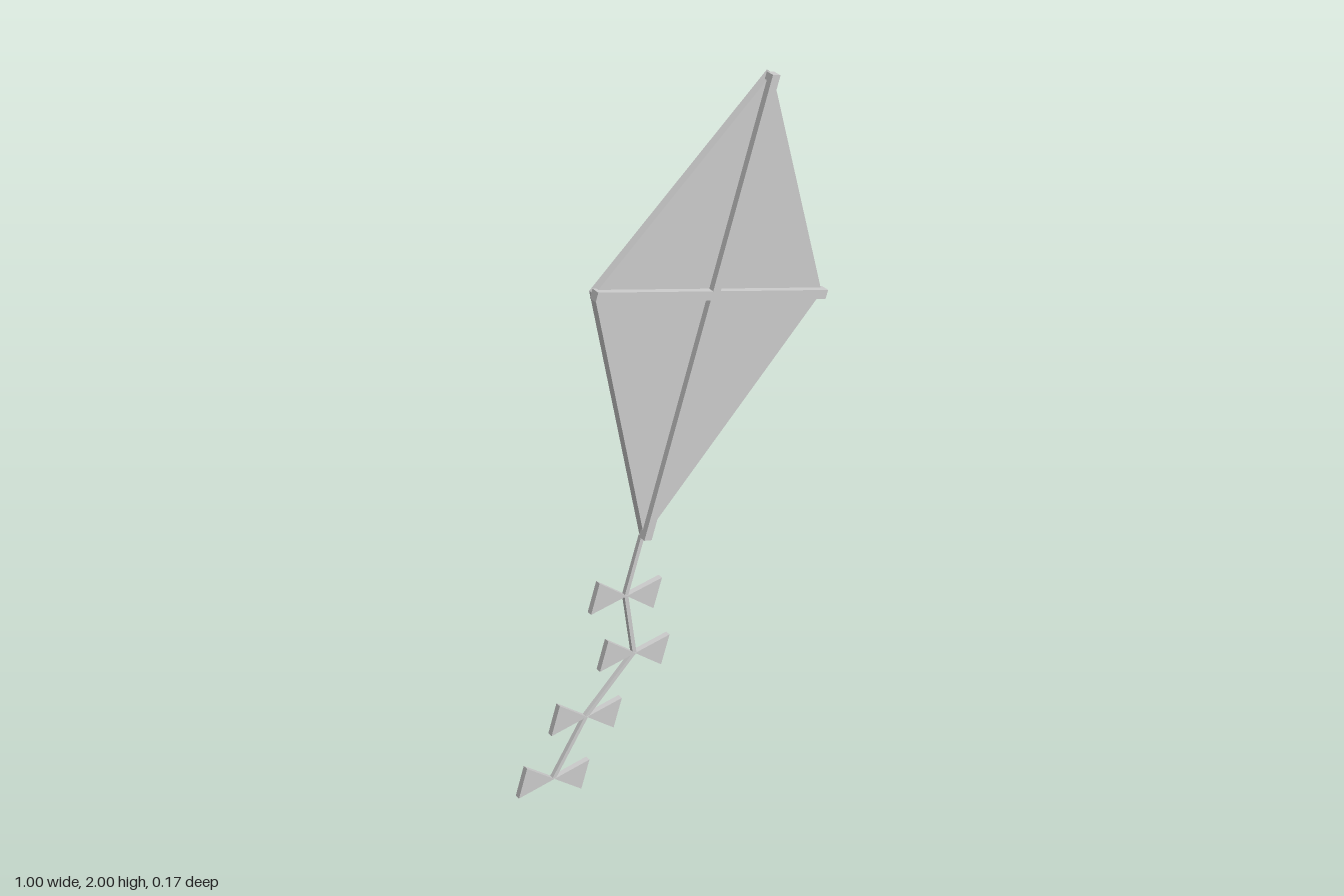
import * as THREE from 'three';

const ROLL = -0.314; // lean of the kite and its bows
const YAW = -0.137; // turn of the whole kite about the vertical

export function createModel() {
  const grey = new THREE.MeshStandardMaterial({ color: 0xcccccc });
  grey.name = 'light grey';
  const kite = new THREE.Group();
  kite.name = 'kite';
  kite.rotation.y = YAW;
  const stretch = 1 / Math.cos(YAW);
  const v = (x, y) => new THREE.Vector2(x * stretch, y);

  // Flat plate cut from an outline, between two depths
  function plate(name, points, back, front) {
    const geometry = new THREE.ExtrudeGeometry(new THREE.Shape(points), { depth: front - back, bevelEnabled: false });
    geometry.translate(0, 0, back);
    const mesh = new THREE.Mesh(geometry, grey);
    mesh.name = name;
    return mesh;
  }

  // Square stick between two points
  function stick(name, a, b, width, back, front) {
    const d = b.clone().sub(a);
    const mesh = new THREE.Mesh(new THREE.BoxGeometry(d.length(), width, front - back), grey);
    mesh.position.set((a.x + b.x) / 2, (a.y + b.y) / 2, (back + front) / 2);
    mesh.rotation.z = d.angle();
    mesh.name = name;
    return mesh;
  }

  // Sail and the two crossed spars on its front
  const top = v(0.31, 1.998), left = v(-0.23, 1.55), bottom = v(-0.085, 0.76), right = v(0.49, 1.312);
  kite.add(plate('sail', [top, left, bottom, right], -0.023, 0));
  kite.add(stick('longSpar', bottom, top, 0.025, -0.008, 0.017));
  kite.add(stick('crossSpar', left.clone().add(v(-0.004, 0.001)), right.clone().add(v(0.004, -0.001)), 0.026, -0.008, 0.017));

  // Tail string with a bow at each bend
  const tail = [bottom, v(-0.14, 0.59), v(-0.115, 0.388), v(-0.275, 0.243), v(-0.385, 0.08)];
  for (let i = 1; i < tail.length; i++) {
    kite.add(stick('tailString', tail[i - 1], tail[i], 0.012, -0.018, -0.006));
    const bow = new THREE.Group();
    bow.name = 'bow';
    for (const s of [-1, 1]) {
      const wing = [new THREE.Vector2(0, 0), new THREE.Vector2(s * 0.107, -0.047), new THREE.Vector2(s * 0.107, 0.047)];
      bow.add(plate('bowWing', wing, -0.02, -0.004));
    }
    bow.position.set(tail[i].x, tail[i].y, 0);
    bow.rotation.z = ROLL;
    kite.add(bow);
  }

  const model = new THREE.Group();
  model.add(kite);
  return model;
}
